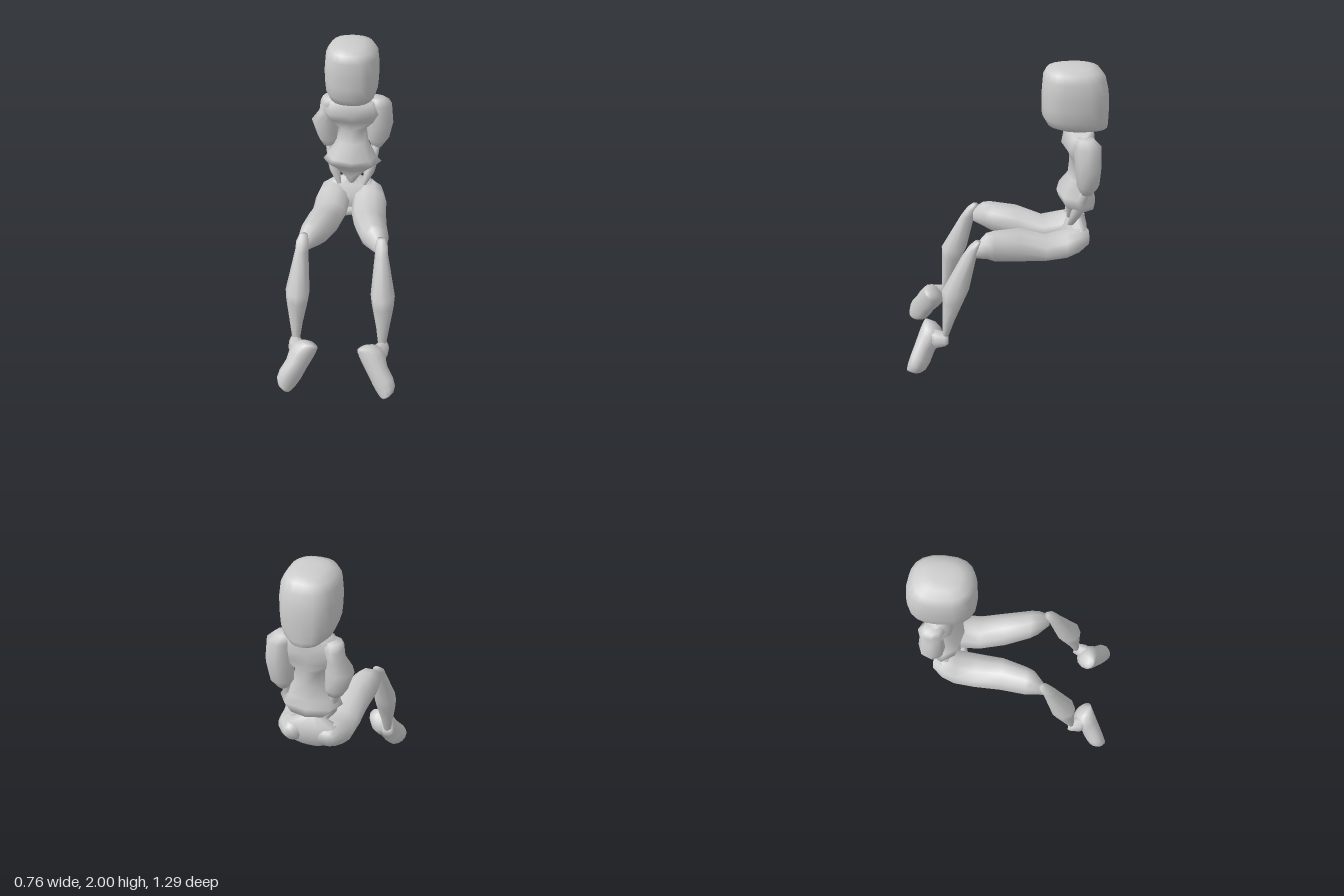
import * as THREE from 'three';

const X = [1, 0, 0], Y = [0, 1, 0], Z = [0, 0, 1];

// Closed skin over rings [cx, cy, cz, ru, rv]; U and V span each ring, p sets its squareness.
function loft(rings, U, V, sides = 10, p = 2, mirror = 1) {
  const pos = [], idx = [], n = rings.length;
  const bend = (t) => Math.sign(t) * Math.abs(t) ** (2 / p);
  for (const r of rings) {
    for (let i = 0; i < sides; i++) {
      const a = (i / sides) * Math.PI * 2;
      const u = bend(Math.cos(a)) * r[3], v = bend(Math.sin(a)) * r[4];
      const q = [0, 1, 2].map((k) => r[k] + U[k] * u + V[k] * v);
      pos.push(q[0] * mirror, q[1], q[2]);
    }
  }
  for (const r of [rings[0], rings[n - 1]]) pos.push(r[0] * mirror, r[1], r[2]);
  for (let j = 0; j < n - 1; j++) {
    for (let i = 0; i < sides; i++) {
      const a = j * sides + i, b = j * sides + ((i + 1) % sides);
      idx.push(a, b, b + sides, a, b + sides, a + sides);
    }
  }
  const last = (n - 1) * sides, c0 = n * sides;
  for (let i = 0; i < sides; i++) {
    const k = (i + 1) % sides;
    idx.push(c0, k, i, c0 + 1, last + i, last + k);
  }
  // Turn the faces outward if the enclosed volume is negative
  let vol = 0;
  const P = (i) => new THREE.Vector3().fromArray(pos, i * 3);
  const o = P(c0);
  for (let t = 0; t < idx.length; t += 3) {
    const [a, b, c] = [0, 1, 2].map((k) => P(idx[t + k]).sub(o));
    vol += a.dot(b.cross(c));
  }
  if (vol < 0) idx.reverse();
  const g = new THREE.BufferGeometry();
  g.setAttribute('position', new THREE.Float32BufferAttribute(pos, 3));
  g.setIndex(idx);
  g.computeVertexNormals();
  return g;
}

export function createModel() {
  const model = new THREE.Group();
  model.name = 'seatedFigure';
  const grey = new THREE.MeshStandardMaterial({ color: 0xcccccc });
  grey.name = 'light grey';
  const add = (name, geometry) => {
    const m = new THREE.Mesh(geometry, grey);
    m.name = name;
    model.add(m);
  };

  // Head: rounded block, chin curved, back of the neck lower and flatter
  add('head', loft([
    [0, 1.592, -0.5, 0.06, 0.13], [0, 1.605, -0.49, 0.1, 0.155],
    [0, 1.635, -0.46, 0.143, 0.187], [0, 1.69, -0.445, 0.164, 0.203],
    [0, 1.76, -0.443, 0.17, 0.205], [0, 1.84, -0.44, 0.172, 0.202],
    [0, 1.93, -0.432, 0.163, 0.188], [0, 1.975, -0.425, 0.135, 0.16],
    [0, 1.995, -0.425, 0.085, 0.11], [0, 2.0, -0.425, 0.04, 0.055],
  ], X, Z, 20, 2.5));

  // Torso: broad shoulders, thin waist, flared hem that dips at the back
  add('torso', loft([
    [0, 1.61, -0.49, 0.07, 0.08], [0, 1.575, -0.48, 0.17, 0.085],
    [0, 1.5, -0.47, 0.205, 0.105], [0, 1.43, -0.49, 0.18, 0.075],
    [0, 1.37, -0.49, 0.092, 0.072], [0, 1.27, -0.485, 0.105, 0.075],
    [0, 1.17, -0.455, 0.165, 0.112], [0, 1.12, -0.475, 0.195, 0.115],
    [0, 1.07, -0.5, 0.135, 0.095], [0, 1.02, -0.46, 0.06, 0.05],
    [0, 0.97, -0.445, 0.02, 0.03],
  ], X, Z, 8, 2.2));

  // Pelvis: wide wedge joining both hips
  add('pelvis', loft([
    [0, 1.01, -0.47, 0.02, 0.02], [0, 0.945, -0.485, 0.16, 0.055],
    [0, 0.88, -0.465, 0.18, 0.08], [0, 0.81, -0.46, 0.15, 0.075],
    [0, 0.76, -0.44, 0.07, 0.045],
  ], X, Z, 10, 2.4));

  // Upper arms: the right one is narrower below the shoulder
  add('leftUpperArm', loft([
    [0.15, 1.585, -0.495, 0.055, 0.05], [0.175, 1.545, -0.505, 0.078, 0.085],
    [0.178, 1.4, -0.515, 0.087, 0.08], [0.165, 1.28, -0.52, 0.075, 0.07],
    [0.16, 1.215, -0.515, 0.035, 0.035],
  ], X, Z, 8));
  add('rightUpperArm', loft([
    [-0.14, 1.58, -0.495, 0.055, 0.05], [-0.15, 1.545, -0.505, 0.06, 0.08],
    [-0.165, 1.47, -0.51, 0.055, 0.07], [-0.185, 1.395, -0.51, 0.088, 0.08],
    [-0.165, 1.27, -0.515, 0.07, 0.07], [-0.155, 1.21, -0.51, 0.045, 0.035],
  ], X, Z, 8));

  // Foot axes: down the sole, sole normal, and across
  const along = new THREE.Vector3(0.12, -0.2, 0.09).normalize();
  const sole = new THREE.Vector3(-0.59, 0, 0.81).normalize();
  const across = new THREE.Vector3().crossVectors(along, sole).normalize();
  const heel = new THREE.Vector3(0.178, 0.245, 0.535);
  const footRing = ([t, width, depth]) => {
    const c = heel.clone().addScaledVector(along, t).addScaledVector(sole, -depth);
    return [c.x, c.y, c.z, width, depth];
  };

  for (const [side, s] of [['left', 1], ['right', -1]]) {
    add(side + 'Forearm', loft([
      [0.155, 1.25, -0.51, 0.03, 0.03], [0.135, 1.1, -0.47, 0.03, 0.04],
      [0.115, 1.04, -0.455, 0.035, 0.035], [0.085, 0.96, -0.43, 0.015, 0.02],
    ], X, Z, 6, 2, s));

    add(side + 'Thigh', loft([
      [0.11, 0.88, -0.545, 0.05, 0.05], [0.115, 0.87, -0.48, 0.1, 0.09],
      [0.125, 0.845, -0.4, 0.115, 0.09], [0.132, 0.825, -0.27, 0.115, 0.078],
      [0.155, 0.86, -0.1, 0.108, 0.11], [0.195, 0.88, 0.06, 0.092, 0.1],
      [0.207, 0.89, 0.11, 0.078, 0.085], [0.24, 0.87, 0.18, 0.035, 0.045],
    ], X, Y, 10, 2, s));

    add(side + 'Shin', loft([
      [0.245, 0.945, 0.165, 0.025, 0.02], [0.25, 0.91, 0.19, 0.04, 0.035],
      [0.252, 0.86, 0.215, 0.042, 0.045], [0.272, 0.61, 0.31, 0.077, 0.085],
      [0.275, 0.54, 0.325, 0.07, 0.07], [0.28, 0.38, 0.36, 0.042, 0.038],
      [0.28, 0.26, 0.385, 0.025, 0.02],
    ], X, Z, 8, 2, s));

    // Ankle: short wedge from the shin into the back of the foot
    add(side + 'Ankle', loft([
      [0.285, 0.245, 0.365, 0.035, 0.035], [0.282, 0.24, 0.39, 0.045, 0.05],
      [0.26, 0.235, 0.45, 0.062, 0.07], [0.235, 0.235, 0.5, 0.06, 0.07],
    ], X, Y, 8, 2, s));

    // Foot hanging toe down, sole turned forward
    add(side + 'Foot', loft([
      [-0.08, 0.035, 0.035], [-0.06, 0.06, 0.055], [-0.02, 0.08, 0.075],
      [0.03, 0.083, 0.075], [0.1, 0.077, 0.062], [0.18, 0.083, 0.06],
      [0.235, 0.073, 0.055], [0.27, 0.05, 0.042], [0.28, 0.03, 0.03],
    ].map(footRing), across.toArray(), sole.toArray(), 12, 2.2, s));
  }

  // Hands tucked under the seat, with fingers hanging down
  add('hands', loft([
    [-0.16, 0.775, -0.33, 0.015, 0.015], [-0.12, 0.77, -0.34, 0.03, 0.03],
    [0, 0.775, -0.37, 0.03, 0.03], [0.07, 0.77, -0.38, 0.02, 0.02],
  ], Z, Y, 8));
  for (const [x, y, z] of [[0.06, 0.7, -0.37], [-0.09, 0.74, -0.35], [-0.14, 0.74, -0.325]]) {
    add('finger', loft([
      [x, y, z, 0.008, 0.01], [x, y + 0.02, z, 0.016, 0.02], [x, y + 0.08, z - 0.02, 0.016, 0.025],
    ], X, Z, 6));
  }
  return model;
}
